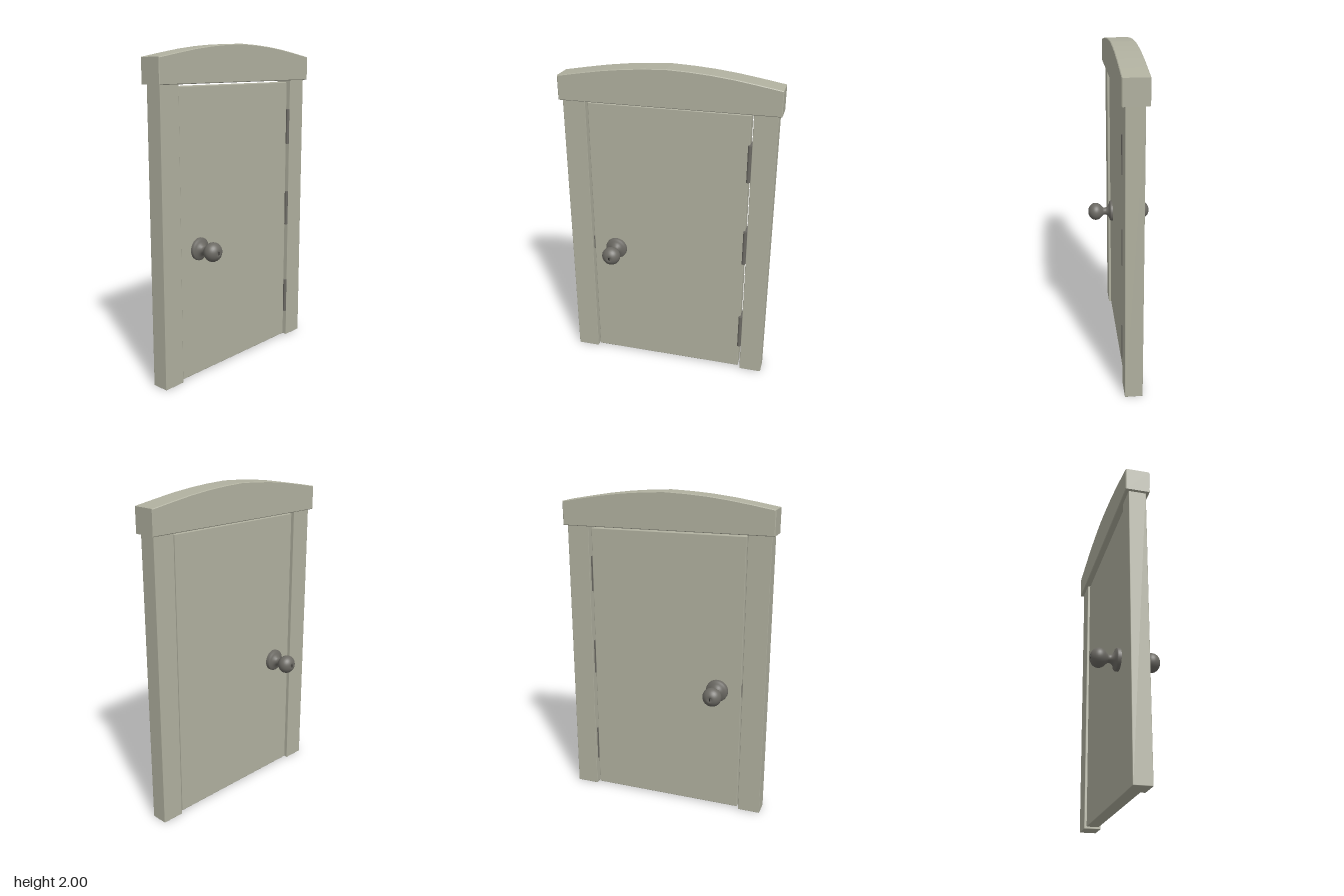
import * as THREE from 'three';
import { RoundedBoxGeometry } from 'three/addons/geometries/RoundedBoxGeometry.js';

const wood = new THREE.MeshStandardMaterial({ color: 0xb0b09f });
const metal = new THREE.MeshStandardMaterial({ color: 0x6c6a64 });
const dark = new THREE.MeshStandardMaterial({ color: 0x2c2b29 });

function add(parent, name, geometry, material, x = 0, y = 0, z = 0) {
  const mesh = new THREE.Mesh(geometry, material);
  mesh.name = name;
  mesh.position.set(x, y, z);
  parent.add(mesh);
  return mesh;
}

// Box given by its minimum and maximum corners, with slightly eased edges
function block(parent, name, material, [x0, y0, z0], [x1, y1, z1], ease = 0.003) {
  const geometry = new RoundedBoxGeometry(x1 - x0, y1 - y0, z1 - z0, 1, ease);
  return add(parent, name, geometry, material, (x0 + x1) / 2, (y0 + y1) / 2, (z0 + z1) / 2);
}

// Header board with a shallow arched top
function headerGeometry() {
  const bevel = 0.004, half = 0.661 - bevel, depth = 0.149;
  const shape = new THREE.Shape();
  shape.moveTo(-half, 1.775 + bevel);
  shape.lineTo(half, 1.775 + bevel);
  const top = [[1, 1.923], [0.79, 1.947], [0.59, 1.968], [0.39, 1.984], [0.2, 1.994], [0, 2]];
  top.forEach(([t, y]) => shape.lineTo(t * half, y - bevel));
  top.slice(0, -1).reverse().forEach(([t, y]) => shape.lineTo(-t * half, y - bevel));
  shape.closePath();
  const geometry = new THREE.ExtrudeGeometry(shape, {
    depth: depth - 2 * bevel, bevelThickness: bevel, bevelSize: bevel, bevelSegments: 1,
  });
  return geometry.translate(0, 0, -depth / 2 + bevel + 0.002);
}

// Rosette, neck and ball turned as one profile, facing +z
function makeKnob(name) {
  const knob = new THREE.Group();
  knob.name = name;
  const profile = [
    [0.069, 0.03], [0.069, 0.054], [0.064, 0.06], [0.05, 0.065], [0.036, 0.072],
    [0.027, 0.082], [0.024, 0.092], [0.024, 0.104], [0.031, 0.109],
  ].map(([r, h]) => new THREE.Vector2(r, h));
  for (let i = 0; i <= 12; i++) {
    const a = -0.9 + (i / 12) * 2.15;
    profile.push(new THREE.Vector2(0.0585 * Math.cos(a), 0.157 + 0.0515 * Math.sin(a)));
  }
  // Dished centre around the key slot
  profile.push(new THREE.Vector2(0.015, 0.203), new THREE.Vector2(0, 0.203));
  const turned = new THREE.LatheGeometry(profile, 32).rotateX(Math.PI / 2);
  const body = metal.clone();
  body.side = THREE.DoubleSide;
  add(knob, 'knobBody', turned, body);
  add(knob, 'keySlot', new THREE.BoxGeometry(0.007, 0.02, 0.004), dark, 0, 0, 0.203);
  return knob;
}

export function createModel() {
  const model = new THREE.Group();
  model.name = 'door';

  // Frame
  for (const side of [-1, 1]) {
    const x = side * 0.572;
    block(model, side < 0 ? 'rightJamb' : 'leftJamb', wood,
      [x - 0.07, 0, -0.05], [x + 0.07, 1.778, 0.057]);
  }
  add(model, 'header', headerGeometry(), wood);

  // Door leaf, with a narrow gap all round
  block(model, 'doorPanel', wood, [-0.492, 0.01, -0.038], [0.487, 1.762, 0.042], 0.004);

  // Hinges: barrel with end caps and a leaf in the gap
  for (const y of [0.295, 0.92, 1.472]) {
    const hinge = new THREE.Group();
    hinge.name = 'hinge';
    hinge.position.set(0.489, y, 0);
    add(hinge, 'barrel', new THREE.CylinderGeometry(0.011, 0.011, 0.228, 16), metal, 0, 0, 0.051);
    add(hinge, 'leaf', new THREE.BoxGeometry(0.017, 0.224, 0.075), metal, 0.004, 0, 0.01);
    model.add(hinge);
  }

  // Latch on the free edge
  block(model, 'latch', metal, [-0.505, 0.77, -0.025], [-0.488, 0.86, 0.03], 0.002);

  // Knobs on both faces
  const front = makeKnob('frontKnob');
  front.position.set(-0.342, 0.803, -0.001);
  const back = makeKnob('backKnob');
  back.position.copy(front.position);
  back.rotation.y = Math.PI;
  model.add(front, back);

  return model;
}
